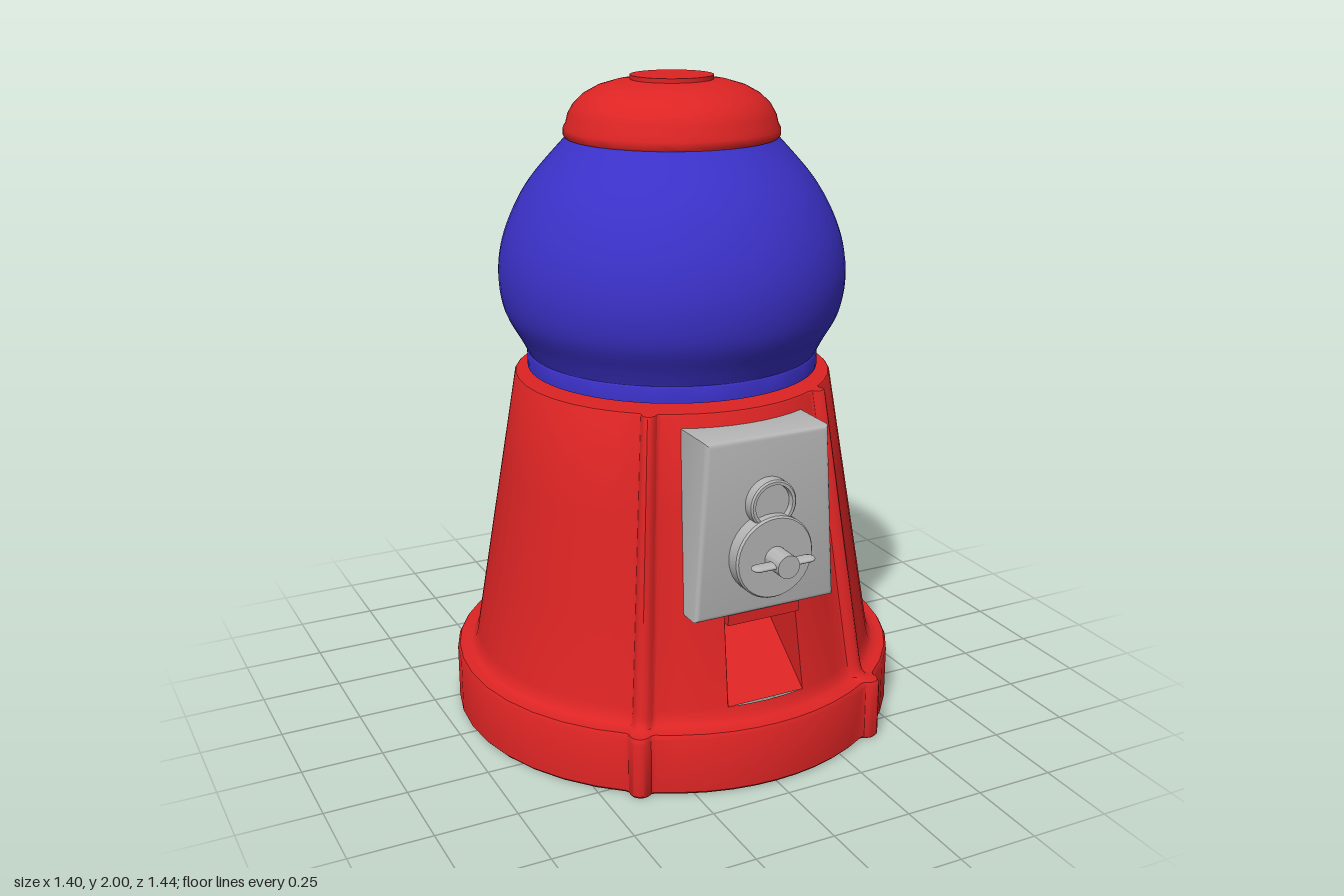
import * as THREE from 'three';
import { toCreasedNormals } from 'three/addons/utils/BufferGeometryUtils.js';

const red = new THREE.MeshStandardMaterial({ color: 0xdd2424 });
red.name = 'red enamel';
const blue = new THREE.MeshStandardMaterial({ color: 0x3b31c8 });
blue.name = 'blue globe';
const grey = new THREE.MeshStandardMaterial({ color: 0xb6b6b6 });
grey.name = 'grey metal';
const redInside = red.clone();
redInside.name = 'red chute';
redInside.side = THREE.DoubleSide;

const AXIS_Z = -0.02; // the round parts sit slightly behind the origin
const CREASE = 0.6;

function add(parent, name, geometry, material, x = 0, y = 0, z = 0) {
  const mesh = new THREE.Mesh(geometry, material);
  mesh.name = name;
  mesh.position.set(x, y, z);
  parent.add(mesh);
  return mesh;
}

function lathe(points, segments = 64) {
  const profile = points.map(([r, y]) => new THREE.Vector2(r, y));
  return toCreasedNormals(new THREE.LatheGeometry(profile, segments), CREASE);
}

// Turned part whose axis points forward
const frontLathe = (points) => lathe(points, 40).rotateX(Math.PI / 2);

// Tapered stand with four ribs and an opening in the front wall
const HOLE = 11.5, HOLE_LOW = 0.24, HOLE_HIGH = 0.49;
const coneRadius = (y) => 0.64 - 0.1685 * (y - 0.21);

function standGeometry() {
  const rib = [[-3.6, 0], [-2.7, 0.005], [-2.1, 0.018], [-1.2, 0.028], [0, 0.032],
    [1.2, 0.028], [2.1, 0.018], [2.7, 0.005], [3.6, 0]];
  const quarter = [[0, 0], [5.75, 0], [HOLE, 0], [18, 0], [25, 0],
    ...rib.map(([a, h]) => [34 + a, h]),
    [45, 0], [54, 0], [63, 0], [72, 0], [81, 0], [90, 0]];
  const half = [...quarter, ...quarter.slice(0, -1).reverse().map(([a, h]) => [180 - a, h])];
  const around = [...half.slice(1).reverse().map(([a, h]) => [-a, h]), ...half];
  const rows = [[0, 0], [0.695, 0], [0.702, 0.008], [0.702, 0.18], [0.695, 0.192],
    [0.672, 0.193], [0.655, 0.198], [0.643, 0.212],
    ...[HOLE_LOW, HOLE_HIGH, 0.8, 1.095].map((y) => [coneRadius(y), y]),
    [0.487, 1.1], [0, 1.1]];
  const positions = [], index = [];
  for (const [r, y] of rows) {
    for (const [angle, bump] of around) {
      const a = THREE.MathUtils.degToRad(angle);
      const radius = r > 0 ? r + bump : 0;
      positions.push(radius * Math.sin(a), y, radius * Math.cos(a));
    }
  }
  const n = around.length;
  for (let i = 0; i < rows.length - 1; i++) {
    for (let j = 0; j < n - 1; j++) {
      const inHole = rows[i][1] === HOLE_LOW
        && Math.abs(around[j][0] + around[j + 1][0]) / 2 < HOLE;
      if (inHole) continue;
      const a = i * n + j, b = a + 1, c = a + n, d = c + 1;
      if (rows[i][0] > 0) index.push(a, b, d);
      if (rows[i + 1][0] > 0) index.push(a, d, c);
      else index.push(a, b, c);
    }
  }
  const g = new THREE.BufferGeometry();
  g.setAttribute('position', new THREE.Float32BufferAttribute(positions, 3));
  g.setIndex(index);
  return toCreasedNormals(g, CREASE);
}

// Sloping chute: ramp, two side walls and a ceiling
function chuteGeometry() {
  const corners = [];
  for (const s of [-1, 1]) {
    corners.push([s * 0.126, HOLE_LOW, 0.604], [s * 0.118, HOLE_HIGH, 0.562], [s * 0.118, HOLE_HIGH, 0.3]);
  }
  const faces = [0, 3, 5, 0, 5, 2, 0, 2, 1, 3, 4, 5, 1, 2, 5, 1, 5, 4];
  const g = new THREE.BufferGeometry();
  g.setAttribute('position', new THREE.Float32BufferAttribute(faces.flatMap((i) => corners[i]), 3));
  g.computeVertexNormals();
  return g;
}

// Bevelled trapezoid plate for the coin mechanism
function plateGeometry() {
  const shape = new THREE.Shape([[-0.23, 0.523], [0.23, 0.523], [0.198, 1.06], [-0.198, 1.06]]
    .map(([x, y]) => new THREE.Vector2(x, y)));
  const g = new THREE.ExtrudeGeometry(shape, {
    depth: 0.16, bevelEnabled: true, bevelSize: 0.015, bevelThickness: 0.015,
    bevelOffset: -0.015, bevelSegments: 3,
  });
  return toCreasedNormals(g, CREASE);
}

export function createModel() {
  const model = new THREE.Group();
  model.name = 'gumballMachine';

  add(model, 'stand', standGeometry(), red, 0, 0, AXIS_Z);
  add(model, 'chute', chuteGeometry(), redInside);
  add(model, 'chuteLip', new THREE.BoxGeometry(0.236, 0.035, 0.04), red, 0, 0.507, 0.563);

  // Globe: straight collar, then a smooth bulb
  const bulb = new THREE.SplineCurve([[0.447, 1.17], [0.47, 1.215], [0.515, 1.3], [0.531, 1.4],
    [0.52, 1.5], [0.484, 1.6], [0.424, 1.7], [0.318, 1.82]]
    .map(([x, y]) => new THREE.Vector2(x, y)));
  const globe = [[0, 1.12], [0.45, 1.12], [0.45, 1.165],
    ...bulb.getPoints(32).map((p) => [p.x, p.y]), [0, 1.83]];
  add(model, 'globe', lathe(globe), blue, 0, 0, AXIS_Z);

  // Lid with a flat button on top
  add(model, 'lid', lathe([[0, 1.82], [0.322, 1.82], [0.326, 1.826], [0.326, 1.845], [0.318, 1.86],
    [0.312, 1.885], [0.295, 1.915], [0.265, 1.943], [0.225, 1.965], [0.175, 1.98],
    [0.125, 1.987], [0.125, 2], [0, 2]]), red, 0, 0, AXIS_Z);

  // Coin mechanism
  const coin = new THREE.Group();
  coin.name = 'coinMechanism';
  model.add(coin);
  add(coin, 'coinPlate', plateGeometry(), grey, 0, 0, 0.42);
  add(coin, 'coinSlotRing', frontLathe([[0.074, 0], [0.074, 0.035], [0.069, 0.04],
    [0.06, 0.04], [0.058, 0.022], [0, 0.022]]), grey, 0, 0.862, 0.592);
  add(coin, 'dial', frontLathe([[0.125, 0], [0.125, 0.045], [0.12, 0.052], [0, 0.052]]),
    grey, 0, 0.705, 0.592);
  add(coin, 'knobShaft', frontLathe([[0.035, 0], [0.035, 0.08], [0, 0.08]]), grey, 0, 0.705, 0.64);

  // Thin turning handle with rounded ends
  const wing = new THREE.CapsuleGeometry(0.022, 0.16, 6, 16);
  wing.rotateZ(Math.PI / 2).scale(1, 0.4, 1);
  add(coin, 'knobHandle', wing, grey, 0, 0.705, 0.688);

  return model;
}
